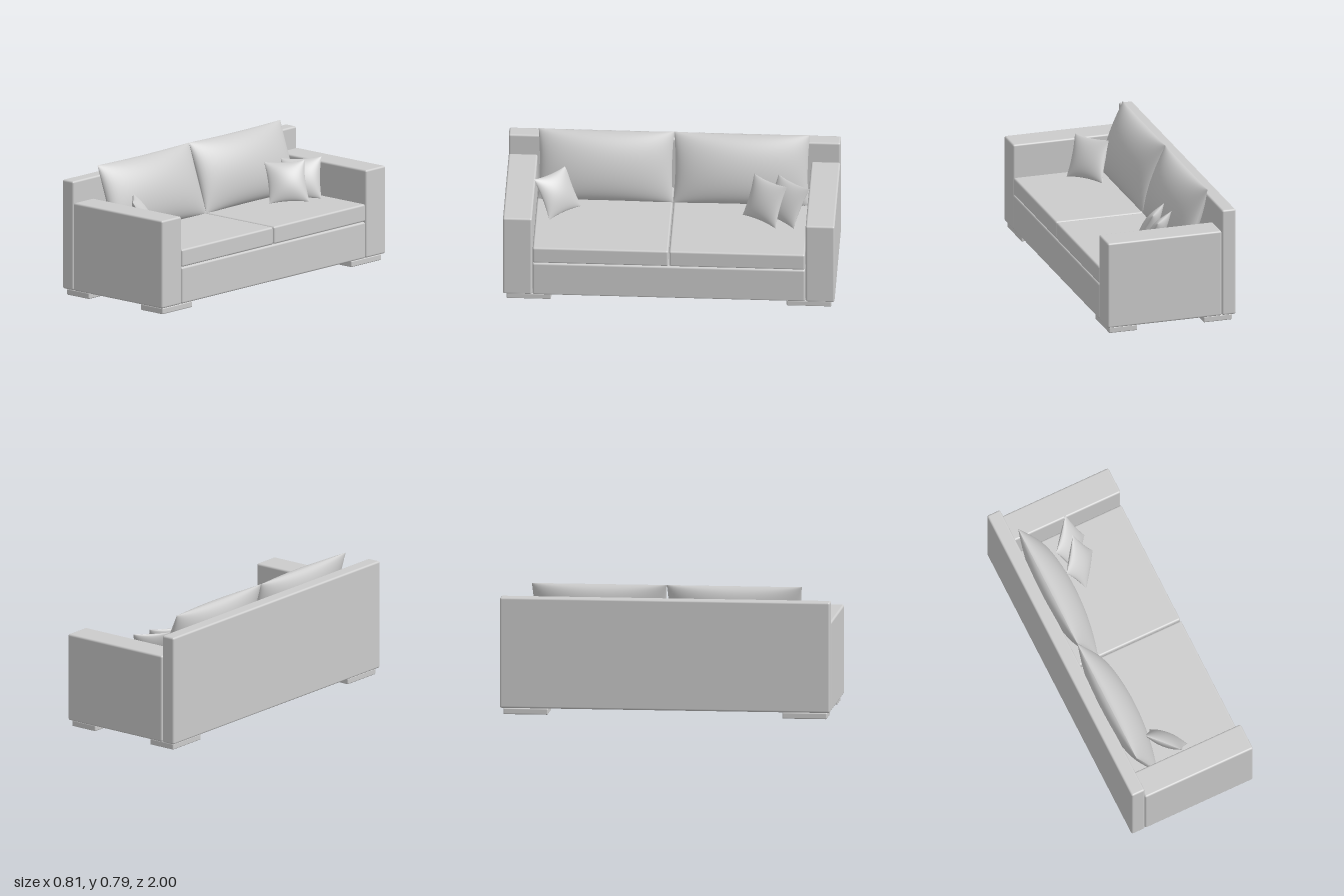
import * as THREE from 'three';
import { RoundedBoxGeometry } from 'three/addons/geometries/RoundedBoxGeometry.js';

const material = new THREE.MeshStandardMaterial({ color: 0xcccccc });

// Rounded block given by its extents on each axis
function block(name, [x0, x1], [y0, y1], [z0, z1], radius = 0.012) {
  const geometry = new RoundedBoxGeometry(x1 - x0, y1 - y0, z1 - z0, 4, radius);
  const mesh = new THREE.Mesh(geometry, material);
  mesh.position.set((x0 + x1) / 2, (y0 + y1) / 2, (z0 + z1) / 2);
  mesh.name = name;
  return mesh;
}

// Stuffed cushion: two bulging sheets meeting at a sharp seam.
// a, b are the bottom corners, c is the top corner above a.
function cushion(name, a, b, c, half, pinch, power) {
  const origin = new THREE.Vector3(...a);
  const across = new THREE.Vector3(...b).sub(origin);
  const up = new THREE.Vector3(...c).sub(origin);
  const normal = new THREE.Vector3().crossVectors(across, up).normalize();
  const group = new THREE.Group();
  group.name = name;
  for (const side of [1, -1]) {
    const geometry = new THREE.PlaneGeometry(2, 2, 28, 28);
    const pos = geometry.attributes.position;
    const p = new THREE.Vector3();
    for (let i = 0; i < pos.count; i++) {
      // Rows are closer together near the seam
      const u = side * Math.sin(pos.getX(i) * Math.PI / 2);
      const v = Math.sin(pos.getY(i) * Math.PI / 2);
      const fu = Math.max(0, 1 - u * u), fv = Math.max(0, 1 - v * v);
      // Edges curve inwards between the corners
      const s = (1 + u * (1 - pinch * fv)) / 2;
      const t = (1 + v * (1 - pinch * fu)) / 2;
      p.copy(origin).addScaledVector(across, s).addScaledVector(up, t)
        .addScaledVector(normal, side * half * Math.pow(fu * fv, power));
      pos.setXYZ(i, p.x, p.y, p.z);
    }
    geometry.computeVertexNormals();
    const mesh = new THREE.Mesh(geometry, material);
    mesh.name = side > 0 ? 'cushionFront' : 'cushionBack';
    group.add(mesh);
  }
  return group;
}

export function createModel() {
  const sofa = new THREE.Group();
  sofa.name = 'sofa';

  // Frame
  sofa.add(block('backrest', [-0.408, -0.32], [0.04, 0.713], [-1, 1]));
  sofa.add(block('base', [-0.318, 0.405], [0.04, 0.265], [-0.822, 0.822]));

  for (const side of [1, -1]) {
    const span = (n, f) => (side > 0 ? [n, f] : [-f, -n]);
    const label = side > 0 ? 'right' : 'left';
    sofa.add(block(label + 'Arm', [-0.318, 0.405], [0.04, 0.582], span(0.825, 1)));
    sofa.add(block(label + 'SeatCushion', [-0.318, 0.405], [0.267, 0.375], span(0.003, 0.821)));

    // Feet
    sofa.add(block(label + 'BackFoot', [-0.39, -0.21], [0, 0.038], span(0.71, 0.98), 0.007));
    sofa.add(block(label + 'FrontFoot', [0.21, 0.39], [0, 0.038], span(0.71, 0.98), 0.007));

    // Leaning back cushion
    const [z0, z1] = span(0, 0.818);
    sofa.add(cushion(label + 'BackCushion', [-0.145, 0.37, z1], [-0.145, 0.37, z0],
      [-0.288, 0.788, z1], 0.1, 0.025, 0.55));
  }

  // Scatter pillows, tilted into the corners
  sofa.add(cushion('rightPillow', [0.095, 0.378, 0.735], [-0.07, 0.378, 0.55],
    [0.01, 0.61, 0.832], 0.042, 0.08, 0.6));
  sofa.add(cushion('leftFrontPillow', [0.122, 0.378, -0.63], [-0.02, 0.378, -0.425],
    [0.02, 0.61, -0.695], 0.042, 0.08, 0.6));
  sofa.add(cushion('leftRearPillow', [0.12, 0.378, -0.74], [-0.035, 0.378, -0.545],
    [0.035, 0.61, -0.832], 0.042, 0.08, 0.6));
  return sofa;
}
